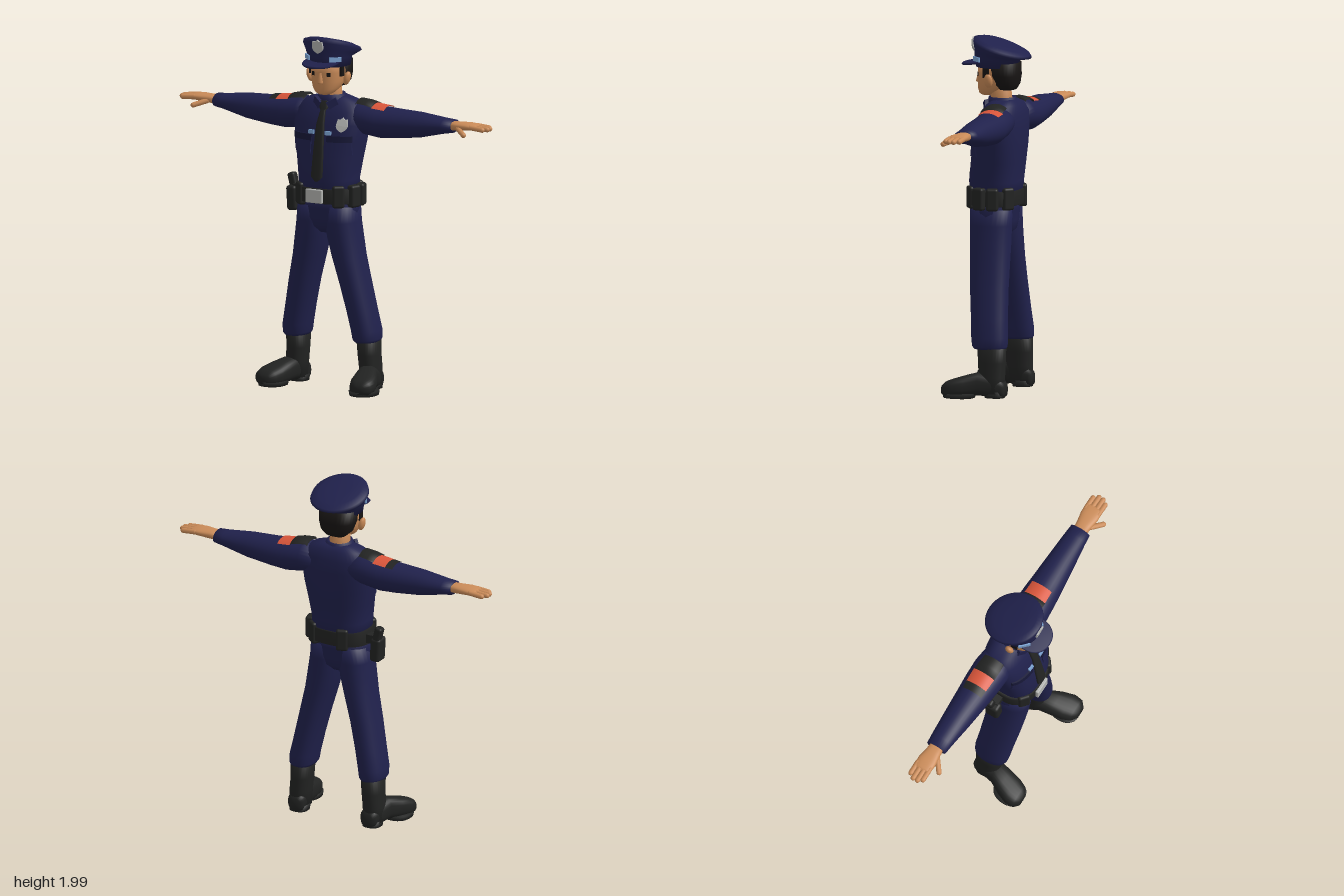
import * as THREE from 'three';
import { RoundedBoxGeometry } from 'three/addons/geometries/RoundedBoxGeometry.js';

const mat = (name, color, side = THREE.FrontSide) =>
  Object.assign(new THREE.MeshStandardMaterial({ color, side }), { name });

// Skin elliptical sections [x, y, z, radiusA, radiusB, slope] along an axis.
// An arc [from, to] gives an open patch instead of a closed body.
function loft(axis, sections, { n = 2, seg = 28, arc = null } = {}) {
  const pos = [], idx = [], cols = arc ? seg + 1 : seg;
  const [a0, a1] = arc || [0, Math.PI * 2];
  const pw = v => Math.sign(v) * Math.abs(v) ** (2 / n);
  for (const [x, y, z, ra, rb, slope = 0] of sections)
    for (let j = 0; j < cols; j++) {
      const t = a0 + (a1 - a0) * j / seg, a = ra * pw(Math.cos(t)), b = rb * pw(Math.sin(t));
      if (axis === 'y') pos.push(x + a, y + slope * b, z + b);
      else if (axis === 'x') pos.push(x, y + a, z - b);
      else pos.push(x + a, y - b, z);
    }
  const last = (sections.length - 1) * cols;
  for (let i = 0; i < sections.length - 1; i++)
    for (let j = 0; j < seg; j++) {
      const a = i * cols + j, b = i * cols + (j + 1) % cols, c = a + cols, d = b + cols;
      idx.push(a, c, b, b, c, d);
    }
  if (!arc) {
    const k = pos.length / 3;
    pos.push(...sections[0].slice(0, 3), ...sections[sections.length - 1].slice(0, 3));
    for (let j = 0; j < seg; j++) {
      const q = (j + 1) % seg;
      idx.push(k, j, q, k + 1, last + q, last + j);
    }
  }
  const g = new THREE.BufferGeometry();
  g.setAttribute('position', new THREE.Float32BufferAttribute(pos, 3));
  g.setIndex(idx);
  g.computeVertexNormals();
  return g;
}

// Mirror across x and restore the winding
function mirror(geo) {
  const g = geo.clone().scale(-1, 1, 1), a = g.index.array;
  for (let i = 0; i < a.length; i += 3) [a[i], a[i + 1]] = [a[i + 1], a[i]];
  return g;
}

// Capsule between two points
function limb(p, q, r) {
  const a = new THREE.Vector3(...p), b = new THREE.Vector3(...q), d = b.clone().sub(a);
  const g = new THREE.CapsuleGeometry(r, d.length(), 4, 10);
  g.applyQuaternion(new THREE.Quaternion().setFromUnitVectors(new THREE.Vector3(0, 1, 0), d.normalize()));
  return g.translate(...a.add(b).multiplyScalar(0.5).toArray());
}

const TORSO = [
  [0, 1.08, -0.015, 0.165, 0.135], [0, 1.19, -0.008, 0.166, 0.142], [0, 1.3, -0.02, 0.185, 0.14],
  [0, 1.4, -0.031, 0.205, 0.137], [0, 1.5, -0.04, 0.22, 0.13], [0, 1.57, -0.052, 0.212, 0.113],
  [0, 1.62, -0.058, 0.16, 0.088], [0, 1.645, -0.06, 0.08, 0.06]];

// Depth of the shirt front at x, y
function frontZ(x, y) {
  let i = 0;
  while (i < TORSO.length - 2 && y > TORSO[i + 1][1]) i++;
  const t = (y - TORSO[i][1]) / (TORSO[i + 1][1] - TORSO[i][1]);
  const [, , cz, rx, rz] = TORSO[i].map((v, k) => v + (TORSO[i + 1][k] - v) * t);
  return cz + rz * Math.max(0, 1 - Math.abs(x / rx) ** 2.6) ** (1 / 2.6);
}

// Bend a flat geometry onto the shirt front
function wrap(geo) {
  const p = geo.attributes.position;
  for (let i = 0; i < p.count; i++) p.setZ(i, p.getZ(i) + frontZ(p.getX(i), p.getY(i)));
  geo.computeVertexNormals();
  return geo;
}
const panel = (w, h, x, y, t = 0.008) => wrap(new THREE.BoxGeometry(w, h, t, 8, 3, 1).translate(x, y, 0.003));

function shield(w, h) {
  const s = new THREE.Shape();
  s.moveTo(0, -h / 2);
  s.quadraticCurveTo(w / 2, -h / 3, w / 2, 0);
  [[w * 0.42, h * 0.38], [w * 0.2, h * 0.36], [0, h / 2], [-w * 0.2, h * 0.36], [-w * 0.42, h * 0.38], [-w / 2, 0]]
    .forEach(p => s.lineTo(...p));
  s.quadraticCurveTo(-w / 2, -h / 3, 0, -h / 2);
  return new THREE.ExtrudeGeometry(s, { depth: 0.009, bevelEnabled: false });
}

export function createModel() {
  const root = new THREE.Group();
  root.name = 'officer';
  const navy = mat('navy cloth', 0x20214c), seam = mat('dark navy', 0x171838);
  const black = mat('black leather', 0x222322), hair = mat('dark hair', 0x171413);
  const skin = mat('skin', 0xca8b58), orange = mat('orange patch', 0xd8553a, THREE.DoubleSide);
  const metal = mat('silver', 0xb4b5b2), blue = mat('light blue', 0x7ba3d2);
  const strap = mat('black strap', 0x222322, THREE.DoubleSide);
  const add = (name, geo, m) => {
    const mesh = new THREE.Mesh(geo, m);
    mesh.name = name;
    root.add(mesh);
    return mesh;
  };
  const pair = (name, geo, m) => { add(name + 'Left', geo, m); add(name + 'Right', mirror(geo), m); };

  // Shirt, hips and collar
  add('shirt', loft('y', TORSO, { n: 2.6, seg: 40 }), navy);
  add('hips', loft('y', [[0, 0.885, -0.01, 0.05, 0.07], [0, 0.92, -0.01, 0.13, 0.105],
    [0, 0.97, -0.007, 0.178, 0.117], [0, 1.03, -0.007, 0.178, 0.122], [0, 1.1, -0.012, 0.168, 0.13]], { n: 2.4 }), navy);
  add('collar', loft('y', [[0, 1.59, -0.045, 0.1, 0.09], [0, 1.63, -0.043, 0.085, 0.084],
    [0, 1.658, -0.043, 0.07, 0.076], [0, 1.65, -0.043, 0.058, 0.06]]), navy);
  const wing = new THREE.BoxGeometry(0.06, 0.045, 0.02).rotateZ(0.45).rotateY(0.5).translate(0.047, 1.612, 0.038);
  pair('collarWing', wing, navy);

  // Tie, pockets and insignia
  add('tie', loft('y', [[1.185, 0.008], [1.21, 0.036], [1.35, 0.032], [1.5, 0.025], [1.575, 0.016],
    [1.585, 0.026], [1.625, 0.028]].map(([y, w]) => [0, y, Math.max(frontZ(0, y), 0.04), w, 0.014]), { n: 3 }), black);
  for (const s of [-1, 1]) {
    add('pocket', panel(0.13, 0.1, 0.115 * s, 1.385), navy);
    add('pocketFlap', panel(0.135, 0.035, 0.115 * s, 1.425, 0.014), seam);
    add('nameBar', panel(0.036, 0.022, 0.053 * s, 1.456, 0.014), blue);
  }
  add('chestBadge', wrap(shield(0.062, 0.08).translate(0.13, 1.505, 0.002)), metal);

  // Trousers and boots
  pair('trouserLeg', loft('y', [[0.222, 0.275, -0.048, 0.062, 0.09], [0.222, 0.29, -0.046, 0.072, 0.1],
    [0.218, 0.34, -0.043, 0.076, 0.103], [0.195, 0.45, -0.034, 0.076, 0.104], [0.162, 0.6, -0.022, 0.079, 0.108],
    [0.125, 0.75, -0.014, 0.085, 0.112], [0.103, 0.86, -0.01, 0.092, 0.115],
    [0.09, 0.95, -0.007, 0.092, 0.117], [0.085, 1.04, -0.007, 0.09, 0.118]], { n: 2.3 }), navy);
  pair('bootShaft', loft('y', [[0.236, 0.03, -0.065, 0.056, 0.07], [0.234, 0.12, -0.062, 0.058, 0.074],
    [0.227, 0.2, -0.06, 0.058, 0.078], [0.224, 0.3, -0.058, 0.062, 0.082]], { n: 2.3 }), black);
  pair('bootFoot', loft('z', [[0.23, 0.05, -0.142, 0.035, 0.035], [0.232, 0.058, -0.125, 0.05, 0.05],
    [0.237, 0.068, -0.07, 0.056, 0.06], [0.25, 0.082, 0, 0.06, 0.066], [0.275, 0.07, 0.07, 0.073, 0.06],
    [0.292, 0.06, 0.13, 0.078, 0.052], [0.3, 0.052, 0.175, 0.066, 0.044], [0.303, 0.047, 0.2, 0.036, 0.027]], { n: 2.7 }), black);
  pair('bootSole', loft('y', [[0.29, 0.005, 0.11, 0.076, 0.088], [0.29, 0.03, 0.11, 0.08, 0.092]], { n: 2.3 }), black);
  pair('bootHeel', loft('y', [[0.233, 0.005, -0.08, 0.053, 0.055], [0.233, 0.04, -0.08, 0.056, 0.06]], { n: 2.5 }), black);

  // Sleeves, hands, shoulder straps and patches
  pair('sleeve', loft('x', [[0.1, 1.535, -0.065, 0.075, 0.09], [0.2, 1.53, -0.065, 0.09, 0.105],
    [0.3, 1.517, -0.07, 0.09, 0.1], [0.4, 1.517, -0.072, 0.083, 0.092], [0.55, 1.523, -0.076, 0.071, 0.079],
    [0.7, 1.532, -0.08, 0.044, 0.065], [0.755, 1.535, -0.08, 0.037, 0.06]]), navy);
  pair('palm', loft('x', [[0.73, 1.537, -0.08, 0.025, 0.04], [0.79, 1.539, -0.08, 0.024, 0.044],
    [0.85, 1.543, -0.081, 0.021, 0.054], [0.9, 1.543, -0.082, 0.017, 0.052], [0.915, 1.543, -0.082, 0.008, 0.04]], { n: 2.5 }), skin);
  [[-0.122, 0.955], [-0.095, 0.974], [-0.068, 0.973], [-0.043, 0.955]].forEach(([z, x]) =>
    pair('finger', limb([0.88, 1.544, z], [x, 1.538, z], 0.0145), skin));
  pair('thumb', limb([0.8, 1.53, -0.045], [0.862, 1.508, 0.004], 0.015), skin);
  const top = { arc: [-0.66, 0.66], seg: 12 };
  pair('shoulderPatch', loft('x', [[0.265, 1.523, -0.073, 0.096, 0.108], [0.345, 1.518, -0.075, 0.093, 0.103]], top), orange);
  pair('shoulderStrap', loft('x', [[0.165, 1.54, -0.065, 0.085, 0.09], [0.17, 1.535, -0.065, 0.105, 0.1],
    [0.225, 1.53, -0.068, 0.105, 0.106], [0.265, 1.523, -0.07, 0.102, 0.106], [0.268, 1.523, -0.07, 0.085, 0.1]], top), strap);
  add('sleeveBand', mirror(loft('x', [[0.345, 1.518, -0.075, 0.093, 0.103], [0.39, 1.517, -0.075, 0.089, 0.098]], top)), strap);

  // Belt, buckle, pouches and holster
  add('belt', loft('y', [[0, 1.058, -0.01, 0.172, 0.138], [0, 1.062, -0.01, 0.181, 0.147],
    [0, 1.14, -0.01, 0.181, 0.149], [0, 1.145, -0.01, 0.168, 0.138]], { n: 2.4, seg: 40 }), black);
  add('buckle', new RoundedBoxGeometry(0.105, 0.078, 0.02, 2, 0.006).translate(-0.01, 1.102, 0.143), metal);
  for (const deg of [52, 18, -15, -50, 130, -112]) {
    const t = deg * Math.PI / 180;
    const p = add('beltPouch', new RoundedBoxGeometry(0.068, 0.125, 0.05, 3, 0.014), black);
    p.position.set(0.188 * Math.cos(t), 1.102, -0.01 + 0.135 * Math.sin(t));
    p.rotation.y = Math.PI / 2 - t;
  }
  add('holster', new RoundedBoxGeometry(0.062, 0.14, 0.085, 3, 0.018).rotateZ(0.06).translate(-0.237, 1.045, -0.03), black);
  add('holsterGrip', new RoundedBoxGeometry(0.045, 0.085, 0.05, 3, 0.014).rotateZ(0.25).translate(-0.25, 1.14, -0.045), black);
  add('holsterLoop', new THREE.BoxGeometry(0.07, 0.05, 0.05).translate(-0.2, 1.1, -0.03), black);

  // Head, hair and face
  add('neck', loft('y', [[0, 1.58, -0.045, 0.06, 0.06], [0, 1.72, -0.03, 0.056, 0.06]]), skin);
  add('head', loft('y', [[0, 1.664, 0.045, 0.03, 0.03], [0, 1.675, 0.038, 0.052, 0.05], [0, 1.7, 0.02, 0.075, 0.074],
    [0, 1.74, -0.005, 0.092, 0.1], [0, 1.79, -0.015, 0.099, 0.11], [0, 1.85, -0.018, 0.1, 0.112]], { n: 2.3 }), skin);
  add('hair', loft('y', [[0, 1.7, -0.075, 0.06, 0.045], [0, 1.73, -0.07, 0.092, 0.066],
    [0, 1.78, -0.06, 0.106, 0.083], [0, 1.85, -0.05, 0.108, 0.09]], { n: 2.6 }), hair);
  pair('sideburn', new THREE.BoxGeometry(0.012, 0.07, 0.035).translate(0.097, 1.805, 0.02), hair);
  pair('ear', new THREE.SphereGeometry(1, 12, 10).scale(0.018, 0.04, 0.025).rotateZ(-0.25).translate(0.118, 1.757, 0), skin);
  add('nose', loft('y', [[0, 1.728, 0.088, 0.017, 0.012], [0, 1.738, 0.092, 0.018, 0.02],
    [0, 1.79, 0.09, 0.009, 0.01]], { seg: 10 }), skin);
  pair('eye', new THREE.BoxGeometry(0.022, 0.022, 0.009).rotateY(0.3).translate(0.048, 1.783, 0.082), hair);

  // Peaked cap with visor, badge and band plates
  add('cap', loft('y', [[0, 1.825, -0.015, 0.116, 0.122, 0], [0, 1.875, -0.012, 0.124, 0.125, 0.05],
    [0, 1.9, -0.03, 0.146, 0.144, 0.2], [0, 1.921, -0.042, 0.164, 0.162, 0.29], [0, 1.938, -0.04, 0.158, 0.156, 0.32],
    [0, 1.952, -0.037, 0.12, 0.122, 0.33], [0, 1.957, -0.035, 0.06, 0.06, 0.33]], { seg: 40 }), navy);
  add('visor', loft('y', [[0, 1.843, 0.08, 0.1, 0.106, -0.13], [0, 1.85, 0.08, 0.105, 0.11, -0.13],
    [0, 1.856, 0.08, 0.1, 0.104, -0.13]], { n: 2.2 }), navy);
  pair('bandPlate', new THREE.BoxGeometry(0.07, 0.026, 0.009).rotateY(0.78).translate(0.089, 1.871, 0.08), blue);
  add('capBadge', shield(0.07, 0.08).rotateX(0.12).translate(0, 1.944, 0.118), metal);
  return root;
}
